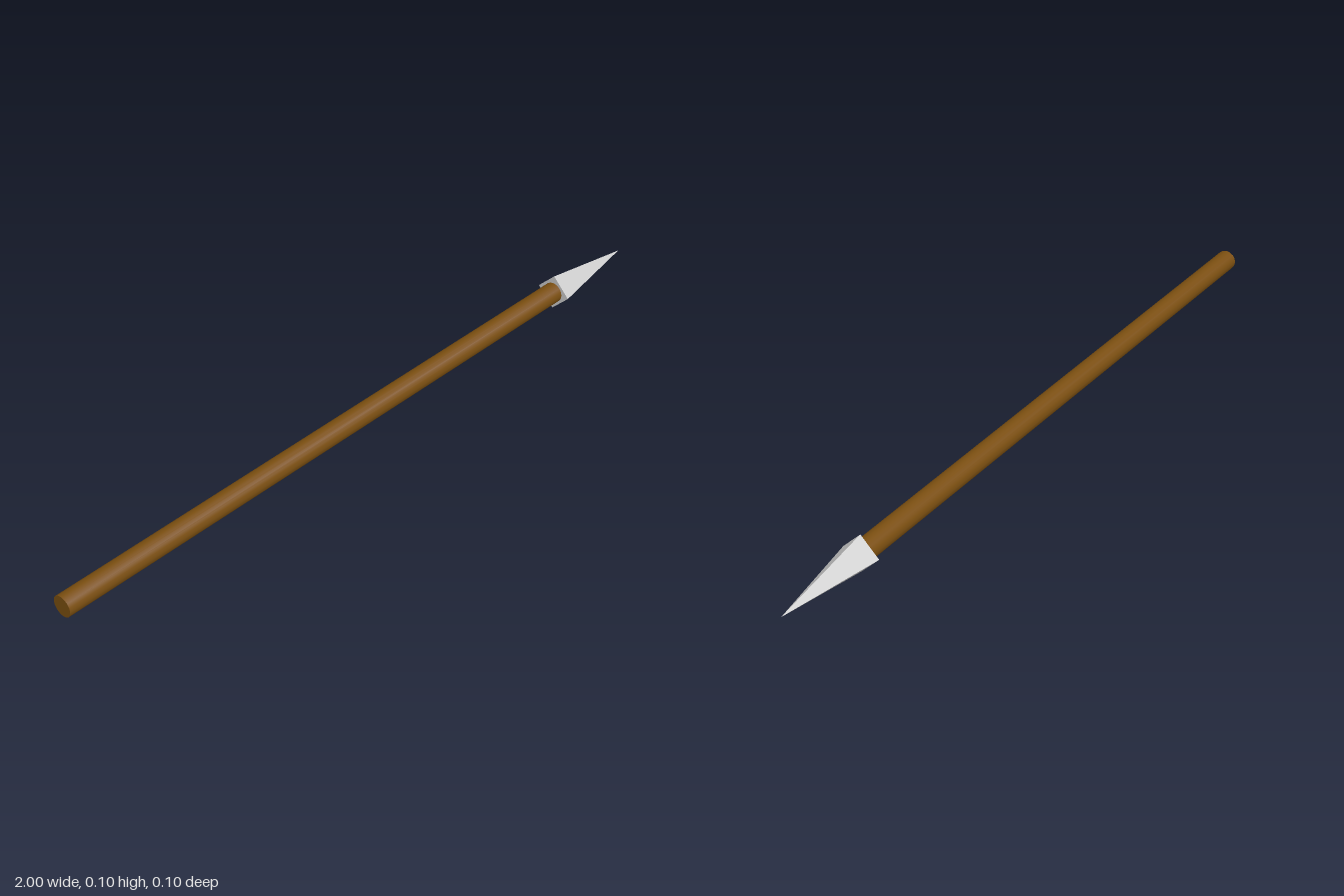
import * as THREE from 'three';

const AXIS_Y = 0.05; // height of the spear's centre line

// Lays an upright part along x, spanning x0..x1
function layAlongX(name, geometry, material, x0, x1) {
  const mesh = new THREE.Mesh(geometry, material);
  mesh.name = name;
  mesh.rotation.z = -Math.PI / 2;
  mesh.position.set((x0 + x1) / 2, AXIS_Y, 0);
  return mesh;
}

export function createModel() {
  const group = new THREE.Group();
  group.name = 'spear';

  const wood = new THREE.MeshStandardMaterial({ color: 0x7a4e10 });
  const metal = new THREE.MeshStandardMaterial({ color: 0xcccccc, flatShading: true });

  const buttX = -1, neckX = 0.715, tipX = 1;

  // Round wooden shaft
  group.add(layAlongX('shaft',
    new THREE.CylinderGeometry(0.028, 0.028, neckX - buttX, 16), wood, buttX, neckX));

  // Four-sided pointed head with its ridges up, down, front and back
  group.add(layAlongX('spearhead',
    new THREE.ConeGeometry(0.05, tipX - neckX, 4), metal, neckX, tipX));

  return group;
}
